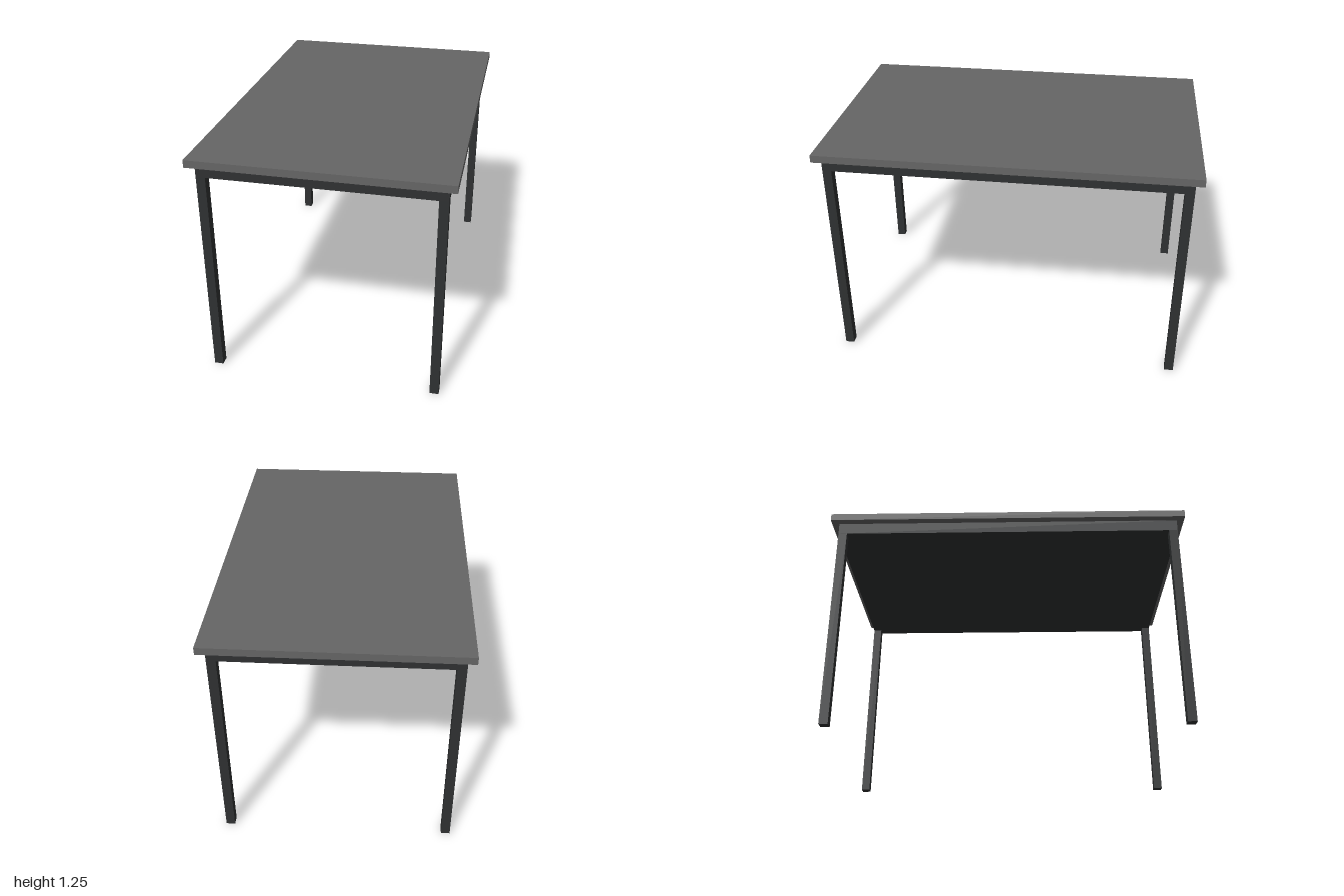
import * as THREE from 'three';

const TOP = { w: 1.324, h: 0.04, d: 2, y: 1.214 };
const FRAME = { w: 1.244, d: 1.918, bottom: 1.148 };
const LEG = 0.048;

export function createModel() {
  const table = new THREE.Group();
  table.name = 'table';
  const topMaterial = new THREE.MeshStandardMaterial({ color: 0x666666 });
  const frameMaterial = new THREE.MeshStandardMaterial({ color: 0x2f3132 });

  // Adds a box whose underside sits at height y
  function addBox(name, material, w, h, d, x, y, z) {
    const mesh = new THREE.Mesh(new THREE.BoxGeometry(w, h, d), material);
    mesh.name = name;
    mesh.position.set(x, y + h / 2, z);
    table.add(mesh);
  }

  // Flat tabletop overhanging the frame
  addBox('tabletop', topMaterial, TOP.w, TOP.h, TOP.d, 0, TOP.y, 0);

  // Closed apron under the top
  addBox('apron', frameMaterial, FRAME.w, TOP.y - FRAME.bottom, FRAME.d, 0, FRAME.bottom, 0);

  // Four square legs, flush with the apron corners
  for (const sx of [-1, 1]) {
    for (const sz of [-1, 1]) {
      const name = (sz > 0 ? 'front' : 'back') + (sx > 0 ? 'Left' : 'Right') + 'Leg';
      addBox(name, frameMaterial, LEG, FRAME.bottom, LEG,
        sx * (FRAME.w - LEG) / 2, 0, sz * (FRAME.d - LEG) / 2);
    }
  }
  return table;
}
